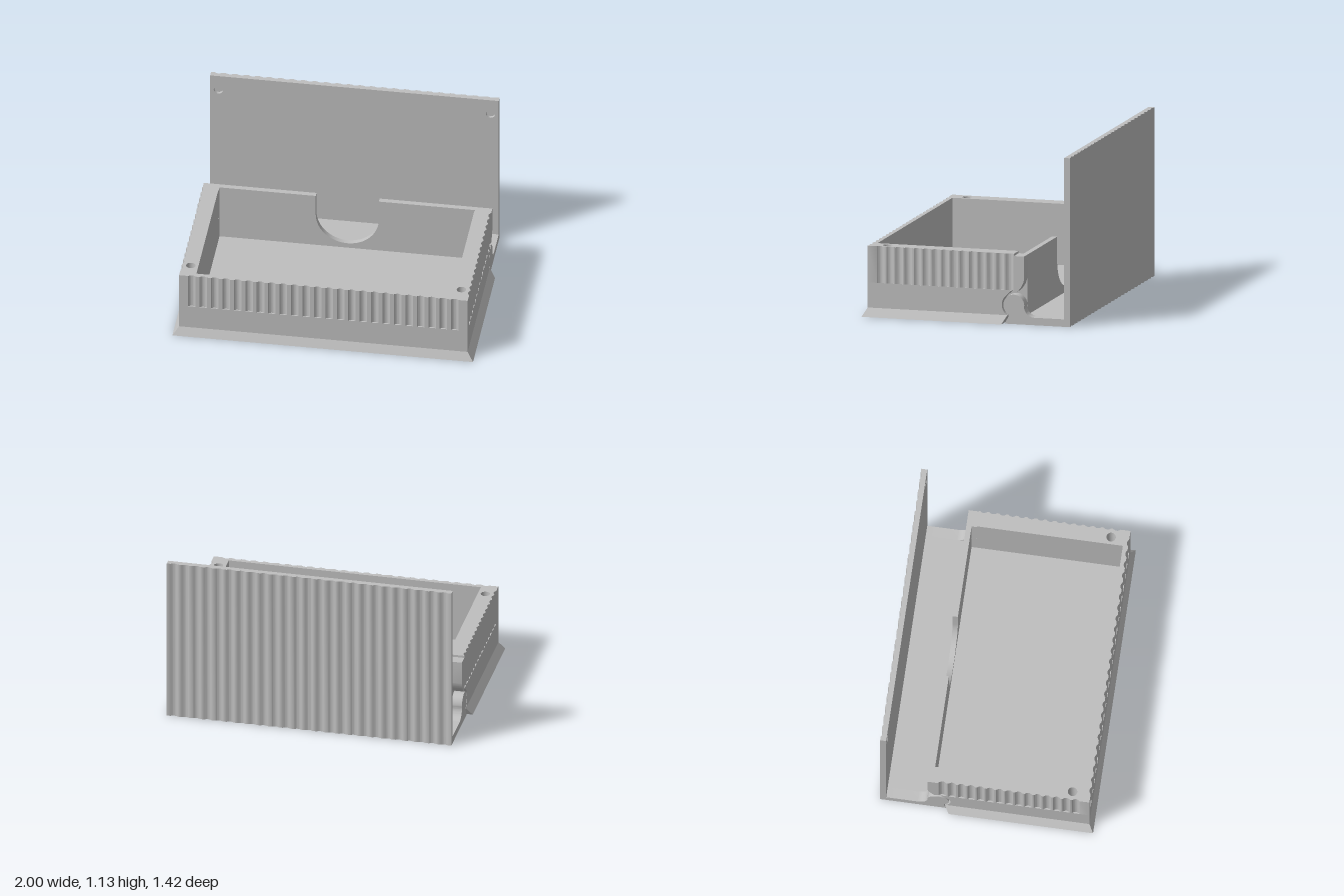
import * as THREE from 'three';
import { toCreasedNormals } from 'three/addons/utils/BufferGeometryUtils.js';

const grey = new THREE.MeshStandardMaterial({ color: 0xbfbfbf });
grey.name = 'grey plastic';

const polygon = (points) => new THREE.Shape(points.map(([x, y]) => new THREE.Vector2(x, y)));

const circleHole = (x, y, r) => new THREE.Path().absarc(x, y, r, 0, Math.PI * 2, true);

function extrude(shape, depth) {
  return toCreasedNormals(new THREE.ExtrudeGeometry(shape, { depth, bevelEnabled: false, curveSegments: 12 }), 0.6);
}

// Plan outline (x, -z) raised from y0 to y1
const extrudeUp = (shape, y0, y1) => extrude(shape, y1 - y0).rotateX(-Math.PI / 2).translate(0, y0, 0);
// Side profile (-z, y) swept from x0 to x1
const extrudeAcross = (shape, x0, x1) => extrude(shape, x1 - x0).rotateY(Math.PI / 2).translate(x0, 0, 0);

// Row of concave flutes cut into the left of the line a -> b
function flutes(shape, a, b, count, width, depth) {
  const start = new THREE.Vector2(...a);
  const run = new THREE.Vector2(...b).sub(start);
  const length = run.length();
  const dir = run.normalize();
  const inward = new THREE.Vector2(-dir.y, dir.x);
  const pitch = (length - width) / (count - 1);
  for (let i = 0; i < count; i++) {
    const p = start.clone().addScaledVector(dir, i * pitch);
    const mid = p.clone().addScaledVector(dir, width / 2).addScaledVector(inward, depth * 2);
    const q = p.clone().addScaledVector(dir, width);
    shape.lineTo(p.x, p.y);
    shape.quadraticCurveTo(mid.x, mid.y, q.x, q.y);
  }
}

// Solid between a bottom and a top rectangle [x, zBack, zFront, y]
function taperedSlab(bottom, top) {
  const ring = ([x, zb, zf, y]) => [[-x, y, zf], [x, y, zf], [x, y, zb], [-x, y, zb]];
  const v = [...ring(bottom), ...ring(top)];
  const quads = [[3, 2, 1, 0], [4, 5, 6, 7]];
  for (let i = 0; i < 4; i++) {
    const j = (i + 1) % 4;
    quads.push([i, j, j + 4, i + 4]);
  }
  const positions = quads.flatMap(([a, b, c, d]) => [a, b, c, a, c, d].flatMap((k) => v[k]));
  const geometry = new THREE.BufferGeometry();
  geometry.setAttribute('position', new THREE.Float32BufferAttribute(positions, 3));
  geometry.computeVertexNormals();
  return geometry;
}

export function createModel() {
  const model = new THREE.Group();
  model.name = 'hingedBox';
  const tray = new THREE.Group();
  tray.name = 'tray';
  const lid = new THREE.Group();
  lid.name = 'lid';
  model.add(tray, lid);

  const add = (group, name, geometry) => {
    const mesh = new THREE.Mesh(geometry, grey);
    mesh.name = name;
    group.add(mesh);
  };
  const box = (w, h, d, x, y, z) => new THREE.BoxGeometry(w, h, d).translate(x, y, z);

  // Sloped foot and cavity floor
  add(tray, 'foot', taperedSlab([1, -0.25, 0.71, 0], [0.96, -0.28, 0.68, 0.057]));
  add(tray, 'floor', box(1.77, 0.008, 1.055, 0, 0.056, 0.1325));

  // Plain lower walls, narrowing at the back for the hinges
  add(tray, 'lowerWalls', extrudeUp(polygon([
    [-0.885, 0.36], [-0.885, 0.24], [-0.96, 0.24], [-0.96, -0.68], [0.96, -0.68], [0.96, 0.24],
    [0.885, 0.24], [0.885, 0.36], [0.85, 0.36], [0.85, -0.645], [-0.85, -0.645], [-0.85, 0.36],
  ]), 0.055, 0.225));

  // Fluted upper walls with two blind corner holes
  const upper = new THREE.Shape();
  upper.moveTo(-0.96, 0.325);
  flutes(upper, [-0.96, 0.32], [-0.96, -0.615], 15, 0.05, 0.011);
  upper.lineTo(-0.96, -0.68);
  flutes(upper, [-0.9, -0.68], [0.9, -0.68], 24, 0.05, 0.011);
  upper.lineTo(0.96, -0.68);
  flutes(upper, [0.96, -0.615], [0.96, 0.32], 15, 0.05, 0.011);
  for (const [x, y] of [[0.96, 0.325], [0.85, 0.325], [0.85, -0.645], [-0.85, -0.645], [-0.85, 0.325]]) upper.lineTo(x, y);
  upper.holes.push(circleHole(-0.9, -0.56, 0.031), circleHole(0.9, -0.56, 0.031));
  add(tray, 'flutedWalls', extrudeUp(upper, 0.225, 0.47));

  // Back wall with a rounded finger notch
  const back = new THREE.Shape();
  back.moveTo(-0.885, 0.053);
  back.lineTo(0.885, 0.053);
  back.lineTo(0.885, 0.455);
  back.lineTo(0.21, 0.455);
  back.lineTo(0.21, 0.305);
  back.absarc(0, 0.305, 0.21, 0, Math.PI, true);
  back.lineTo(-0.21, 0.455);
  back.lineTo(-0.885, 0.455);
  add(tray, 'backWall', extrude(back, 0.035).translate(0, 0, -0.395));

  // Hinge socket below and rear cheek above it, in side profile
  const socket = new THREE.Shape();
  socket.moveTo(0.24, 0.225);
  socket.lineTo(0.24, 0.055);
  socket.lineTo(0.28, 0.055);
  socket.absarc(0.325, 0.125, 0.083, Math.atan2(-0.07, -0.045), Math.atan2(0.065, -0.05), true);
  socket.lineTo(0.31, 0.225);
  const cheek = new THREE.Shape();
  cheek.moveTo(0.325, 0.455);
  cheek.lineTo(0.325, 0.232);
  cheek.lineTo(0.345, 0.215);
  cheek.quadraticCurveTo(0.385, 0.25, 0.395, 0.3);
  cheek.lineTo(0.395, 0.455);

  // Hinge knuckle rising from the lid base through a fillet
  const knuckle = new THREE.Shape();
  knuckle.moveTo(0.262, 0);
  knuckle.lineTo(0.67, 0);
  knuckle.lineTo(0.67, 0.05);
  knuckle.lineTo(0.465, 0.05);
  knuckle.absarc(0.465, 0.12, 0.07, -Math.PI / 2, -Math.PI, true);
  knuckle.absarc(0.325, 0.125, 0.072, 0, Math.PI * 1.32, false);
  knuckle.lineTo(0.287, 0.045);
  knuckle.lineTo(0.272, 0.02);

  for (const [side, sign] of [['left', 1], ['right', -1]]) {
    const across = (shape, a, b) => extrudeAcross(shape, Math.min(sign * a, sign * b), Math.max(sign * a, sign * b));
    add(tray, side + 'HingeSocket', across(socket, 0.885, 0.96));
    add(tray, side + 'RearCheek', across(cheek, 0.85, 0.96));
    add(lid, side + 'HingeKnuckle', across(knuckle, 0.89, 0.96));
  }

  // Lid base between the knuckles
  add(lid, 'lidBase', extrudeAcross(polygon([
    [0.262, 0], [0.67, 0], [0.67, 0.05], [0.29, 0.05], [0.272, 0.02],
  ]), -0.89, 0.89));

  // Lid panel: smooth inner face with blind holes, fluted outer face
  const inner = polygon([[-0.96, 0], [0.96, 0], [0.96, 1.13], [-0.96, 1.13]]);
  inner.holes.push(circleHole(-0.905, 1.02, 0.031), circleHole(0.905, 1.02, 0.031));
  add(lid, 'lidInnerFace', extrude(inner, 0.02).translate(0, 0, -0.69));
  const outer = polygon([[-0.96, 0.69], [0.96, 0.69], [0.96, 0.71]]);
  flutes(outer, [0.935, 0.71], [-0.935, 0.71], 25, 0.05, 0.009);
  outer.lineTo(-0.96, 0.71);
  add(lid, 'lidFlutedFace', extrudeUp(outer, 0, 1.13));

  return model;
}
